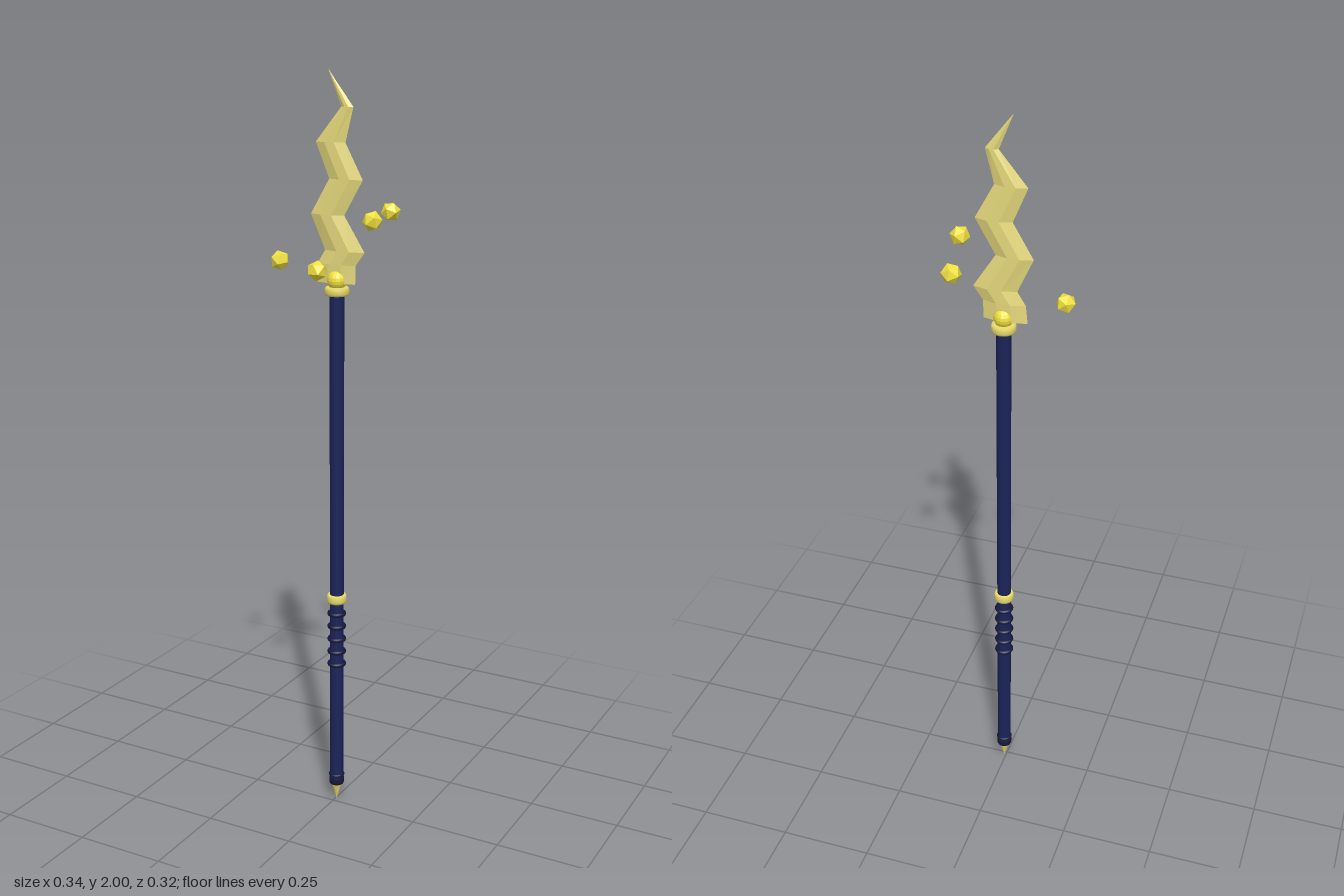
import * as THREE from 'three';

const AXIS_X = 0.005, AXIS_Z = -0.012;

const material = (color, extra = {}) => new THREE.MeshStandardMaterial({ color, ...extra });

// Zigzag blade lofted through six-sided bevelled sections
function bladeGeometry() {
  // y, left edge, right edge, half thickness
  const sections = [
    [1.472, -0.057, 0.057, 0.01], [1.52, -0.052, 0.058, 0.011],
    [1.555, -0.03, 0.083, 0.011], [1.645, -0.071, 0.025, 0.011],
    [1.735, -0.018, 0.077, 0.01], [1.825, -0.056, 0.028, 0.009],
    [1.912, 0.016, 0.05, 0.006], [2.0, -0.02, -0.019, 0.0005],
  ];
  const rings = sections.map(([y, l, r, t]) => {
    const a = l + (r - l) * 0.34, b = l + (r - l) * 0.66;
    return [[l, 0], [a, t], [b, t], [r, 0], [b, -t], [a, -t]].map(([x, z]) => [x, y, z]);
  });
  const pos = [];
  for (let s = 0; s < rings.length - 1; s++) {
    for (let i = 0; i < 6; i++) {
      const j = (i + 1) % 6, lo = rings[s], hi = rings[s + 1];
      for (const p of [lo[i], lo[j], hi[j], lo[i], hi[j], hi[i]]) pos.push(...p);
    }
  }
  // Bottom and tip caps
  const first = rings[0], last = rings[rings.length - 1];
  for (let i = 1; i < 5; i++) {
    pos.push(...first[0], ...first[i + 1], ...first[i]);
    pos.push(...last[0], ...last[i], ...last[i + 1]);
  }
  const geo = new THREE.BufferGeometry();
  geo.setAttribute('position', new THREE.Float32BufferAttribute(pos, 3));
  geo.computeVertexNormals();
  return geo;
}

export function createModel() {
  const model = new THREE.Group();
  const navy = material(0x1a2358);
  const dark = material(0x14183c);
  const gold = material(0xe6d96a);
  const paleGold = material(0xe6d97c, { flatShading: true });
  const orbGold = material(0xf0e040, { flatShading: true });

  const add = (name, geo, mat, x, y, z) => {
    const mesh = new THREE.Mesh(geo, mat);
    mesh.name = name;
    mesh.position.set(x, y, z);
    model.add(mesh);
    return mesh;
  };
  const onAxis = (name, geo, mat, y) => add(name, geo, mat, AXIS_X, y, AXIS_Z);
  const band = (r, h) => new THREE.LatheGeometry([
    [0, -h / 2], [r * 0.9, -h / 2], [r, -h / 4], [r, h / 4], [r * 0.9, h / 2], [0, h / 2],
  ].map(([x, y]) => new THREE.Vector2(x, y)), 20);

  // Staff
  onAxis('shaft', new THREE.CylinderGeometry(0.019, 0.019, 1.38, 16), navy, 0.76);

  // Foot: pointed tip below a dark band and a gold band
  onAxis('footTip', new THREE.ConeGeometry(0.017, 0.06, 12), gold, 0.03).rotation.x = Math.PI;
  onAxis('footBand', band(0.021, 0.022), dark, 0.063);
  onAxis('footRing', new THREE.TorusGeometry(0.018, 0.004, 8, 20), dark, 0.08).rotation.x = Math.PI / 2;

  // Grip rings with a gold band above
  for (let i = 0; i < 5; i++) {
    const ring = onAxis('gripRing', new THREE.TorusGeometry(0.02, 0.006, 8, 20), dark, 0.418 + i * 0.037);
    ring.rotation.x = Math.PI / 2;
  }
  onAxis('gripBand', band(0.027, 0.024), gold, 0.61);

  // Collar and ball holding the blade
  onAxis('collar', band(0.032, 0.022), gold, 1.452);
  onAxis('ball', new THREE.SphereGeometry(0.026, 16, 10), orbGold, 1.48);
  add('blade', bladeGeometry(), paleGold, 0, 0, AXIS_Z - 0.001);

  // Floating faceted orbs
  const orbs = [
    [0.092, 1.645, -0.141], [0.142, 1.647, 0.061],
    [0.03, 1.527, 0.138], [-0.143, 1.525, 0.023],
  ];
  orbs.forEach(([x, y, z], i) => {
    const orb = add('orb', new THREE.IcosahedronGeometry(0.026, 0), orbGold, x, y, z);
    orb.rotation.set(0.2, i * 0.8, 0.1);
  });
  return model;
}
